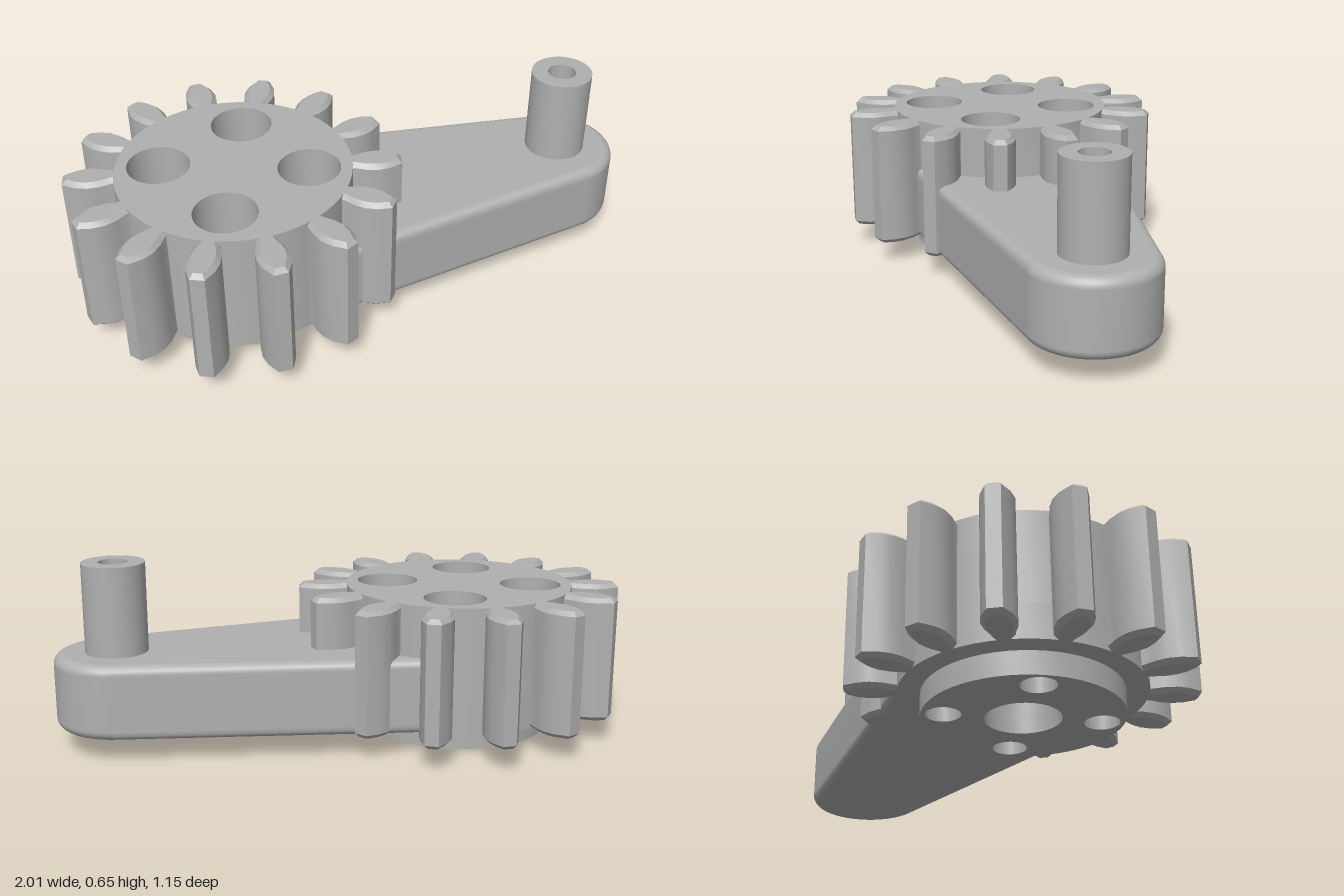
import * as THREE from 'three';
import { toCreasedNormals } from 'three/addons/utils/BufferGeometryUtils.js';

const GEAR_X = -0.44, PIN_X = 0.785, ROOT = 0.405, TEETH = 14;
const BASE = 0.08, GEAR_TOP = 0.52, ARM_TOP = 0.34, FLOOR = 0.2;

export function createModel() {
  const group = new THREE.Group();
  const grey = new THREE.MeshStandardMaterial({ color: 0xb0b0b0 });
  grey.name = 'grey plastic';

  const add = (name, geometry, parent = group) => {
    const mesh = new THREE.Mesh(geometry, grey);
    mesh.name = name;
    parent.add(mesh);
    return mesh;
  };

  // Round plate with four bolt holes and an optional central hole
  const plate = (name, radius, y0, y1, boltRadius, centreRadius) => {
    const shape = new THREE.Shape().absarc(0, 0, radius, 0, Math.PI * 2);
    for (let i = 0; i < 4; i++) {
      const a = THREE.MathUtils.degToRad(69.5 + 90 * i);
      shape.holes.push(new THREE.Path().absarc(0.257 * Math.cos(a), 0.257 * Math.sin(a), boltRadius, 0, Math.PI * 2));
    }
    if (centreRadius) shape.holes.push(new THREE.Path().absarc(0, 0, centreRadius, 0, Math.PI * 2));
    const geo = new THREE.ExtrudeGeometry(shape, { depth: y1 - y0, bevelEnabled: false, curveSegments: 28 });
    geo.rotateX(-Math.PI / 2).translate(0, y0, 0);
    add(name, toCreasedNormals(geo, 0.6), gear);
  };

  // Gear body: mounting boss, lower hub, counterbored upper hub
  const gear = new THREE.Group();
  gear.name = 'gear';
  gear.position.x = GEAR_X;
  group.add(gear);
  plate('mountingBoss', 0.33, 0, BASE, 0.058, 0.125);
  plate('lowerHub', ROOT, BASE, FLOOR, 0.058, 0.125);
  plate('upperHub', ROOT, FLOOR, GEAR_TOP, 0.108, 0);

  // Teeth: half profile as [radius, half width], mirrored and chamfered
  const half = [[0.38, 0.036], [0.41, 0.036], [0.45, 0.05], [0.49, 0.055], [0.53, 0.047], [0.575, 0.024]];
  const outline = [
    ...half.map(([r, w]) => new THREE.Vector2(r, -w)),
    ...half.map(([r, w]) => new THREE.Vector2(r, w)).reverse(),
  ];
  const chamfer = 0.015;
  let toothGeo = new THREE.ExtrudeGeometry(new THREE.Shape(outline), {
    depth: GEAR_TOP - BASE - 2 * chamfer,
    bevelThickness: chamfer, bevelSize: chamfer, bevelOffset: -chamfer, bevelSegments: 1,
  });
  toothGeo.rotateX(-Math.PI / 2).translate(0, BASE + chamfer, 0);
  toothGeo = toCreasedNormals(toothGeo, 0.5);
  for (let i = 0; i < TEETH; i++) {
    add('tooth', toothGeo, gear).rotation.y = Math.PI / 2 + (i * Math.PI * 2) / TEETH;
  }

  // Arm: tapered outline tangent to a circle at each end, trimmed at the hub
  const r1 = 0.397, r2 = 0.215, trim = 0.39, edge = 0.035;
  const tangent = Math.acos((r1 - r2) / (PIN_X - GEAR_X));
  const armPath = (inset) => {
    const a = tangent - Math.acos(Math.min(1, (r1 - inset) / trim));
    const start = new THREE.Vector2(GEAR_X + trim * Math.cos(a), -trim * Math.sin(a));
    const pts = [start];
    for (let i = 0; i <= 32; i++) {
      const t = tangent * (i / 16 - 1);
      pts.push(new THREE.Vector2(PIN_X + (r2 - inset) * Math.cos(t), (r2 - inset) * Math.sin(t)));
    }
    pts.push(new THREE.Vector2(start.x, -start.y));
    return { pts, a };
  };

  // Rounded lower and upper edges as rings of [height, inset]
  const rings = [];
  for (let i = 0; i <= 6; i++) {
    const t = (i / 6) * Math.PI / 2;
    rings.push([BASE + edge * (1 - Math.sin(t)), edge * (1 - Math.cos(t))]);
  }
  rings.reverse();
  rings.sort((p, q) => p[0] - q[0]);
  rings.push(...rings.map(([y, inset]) => [ARM_TOP + BASE - y, inset]).reverse());

  const positions = [], index = [];
  rings.forEach(([y, inset], j) => {
    const { pts } = armPath(inset);
    const n = pts.length;
    pts.forEach((p, i) => {
      positions.push(p.x, y, -p.y);
      if (j && i) {
        const d = j * n + i, c = d - 1, b = d - n, a = b - 1;
        index.push(a, b, d, a, d, c);
      }
    });
  });
  const wall = new THREE.BufferGeometry();
  wall.setAttribute('position', new THREE.Float32BufferAttribute(positions, 3));
  wall.setIndex(index);
  wall.computeVertexNormals();
  add('armSides', wall);

  // Flat top and bottom of the arm, closed by an arc inside the hub
  const { pts, a } = armPath(edge);
  for (let i = 1; i < 20; i++) {
    const t = a * (1 - i / 10);
    pts.push(new THREE.Vector2(GEAR_X + trim * Math.cos(t), trim * Math.sin(t)));
  }
  const cap = new THREE.ShapeGeometry(new THREE.Shape(pts));
  add('armTop', cap.clone().rotateX(-Math.PI / 2).translate(0, ARM_TOP, 0));
  add('armUnderside', cap.rotateX(Math.PI / 2).translate(0, BASE, 0));

  // Upright pin with a blind hole
  const profile = [[0.108, 0.32], [0.108, 0.65], [0.05, 0.65], [0.05, 0.38], [0, 0.38]];
  const pinGeo = new THREE.LatheGeometry(profile.map(([r, y]) => new THREE.Vector2(r, y)), 40);
  add('pin', toCreasedNormals(pinGeo, 0.6)).position.x = PIN_X;

  return group;
}
